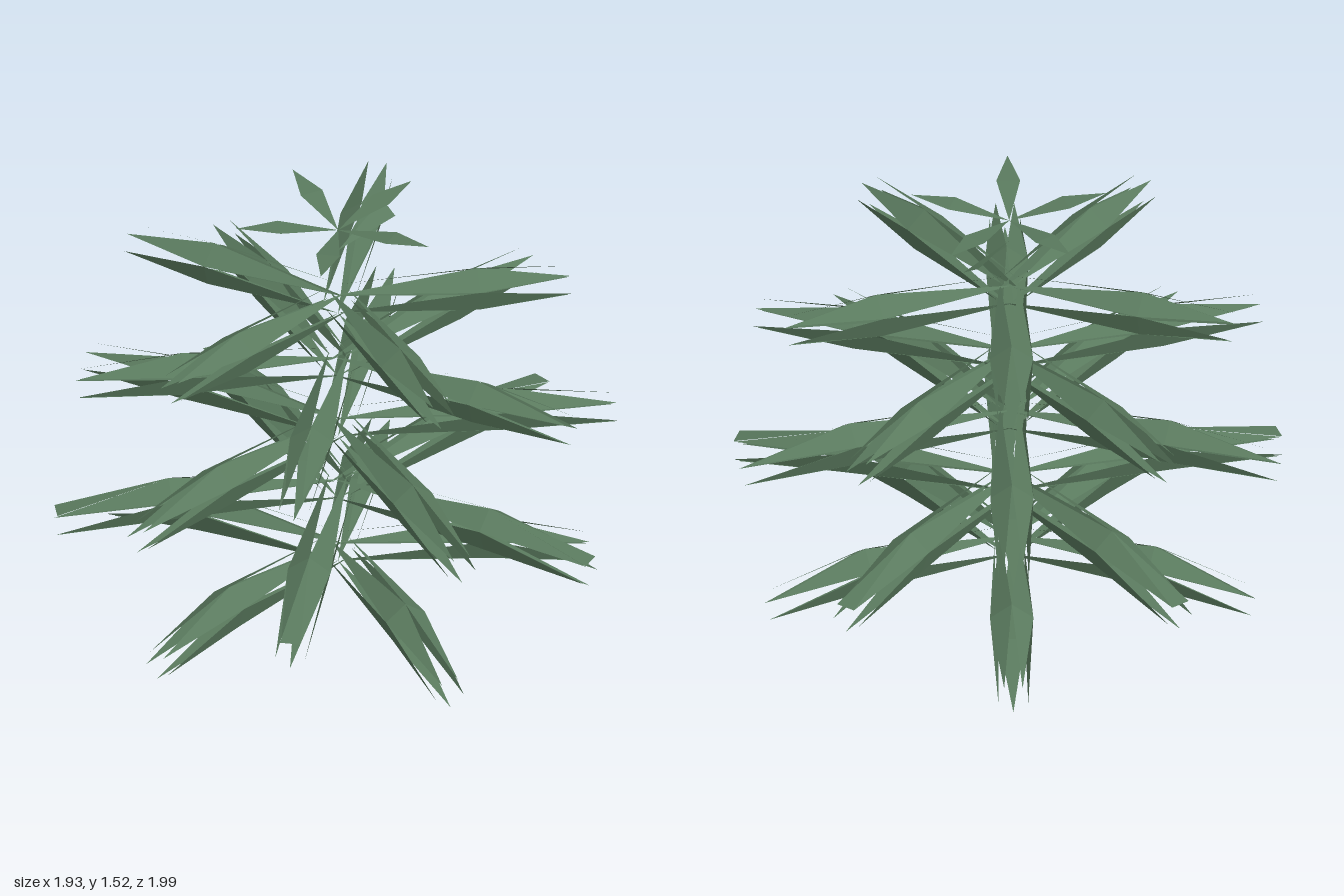
import * as THREE from 'three';

const foliage = new THREE.MeshStandardMaterial({ color: 0x5a7a5e, flatShading: true, side: THREE.DoubleSide });
foliage.name = 'foliageGreen';

const MID_RADIUS = 0.08;   // pentagon of blades at its widest
const END_RADIUS = 0.055;  // ring of blade roots and tips
const rad = THREE.MathUtils.degToRad;

function meshFrom(name, triangles) {
  const geometry = new THREE.BufferGeometry().setFromPoints(triangles);
  geometry.computeVertexNormals();
  const mesh = new THREE.Mesh(geometry, foliage);
  mesh.name = name;
  return mesh;
}

// A branch along +z: five pointed blades that touch at mid length and part at both ends
function makeBranch({ length, root, mid, tip, blunt }) {
  const at = (degrees, radius, y, z) =>
    new THREE.Vector3(Math.cos(rad(degrees)) * radius, y + Math.sin(rad(degrees)) * radius, z);
  const triangles = [];
  for (let k = 0; k < 5; k++) {
    const angle = 90 + 72 * k;
    const a = at(angle, MID_RADIUS, mid, length * 0.6);
    const b = at(angle + 72, MID_RADIUS, mid, length * 0.6);
    const start = at(angle + 36, END_RADIUS, root, 0);
    const end = at(angle + 36, END_RADIUS, tip, length);
    triangles.push(start, b, a, end, a, b);
  }
  // panel joining the two upper tips
  if (blunt) {
    triangles.push(at(90, MID_RADIUS, mid, length * 0.6),
      at(126, END_RADIUS * 1.1, tip, length), at(54, END_RADIUS * 1.1, tip, length));
  }
  return meshFrom('branch', triangles);
}

// Small flat diamond leaf for the crown
function makeCrownLeaf() {
  const root = new THREE.Vector3(0, 1.48, 0);
  const left = new THREE.Vector3(0.042, 1.512, 0.21);
  const right = new THREE.Vector3(-0.042, 1.512, 0.21);
  const tip = new THREE.Vector3(0, 1.52, 0.36);
  return meshFrom('crownLeaf', [root, left, right, tip, right, left]);
}

// Five copies around the stem
function makeRing(name, startDegrees, makePart) {
  const ring = new THREE.Group();
  ring.name = name;
  for (let i = 0; i < 5; i++) {
    const part = makePart();
    part.rotation.y = rad(startDegrees + 72 * i);
    ring.add(part);
  }
  return ring;
}

export function createModel() {
  const model = new THREE.Group();
  model.name = 'tieredPlant';

  // Branch tiers from bottom to top, turned by half a step each time
  const tiers = [
    { length: 0.89, root: 0.142, mid: 0.143, tip: 0.056 },
    { length: 1.0, root: 0.405, mid: 0.413, tip: 0.345, blunt: true },
    { length: 0.985, root: 0.665, mid: 0.678, tip: 0.635 },
    { length: 0.925, root: 0.92, mid: 0.935, tip: 0.915 },
    { length: 0.82, root: 1.185, mid: 1.193, tip: 1.185 },
  ];
  tiers.forEach((tier, i) => {
    model.add(makeRing(`branchTier${i + 1}`, i % 2 ? 180 : 0, () => makeBranch(tier)));
  });

  // Crown and the lone sliver of leaf below it
  model.add(makeRing('crown', 180, makeCrownLeaf));
  model.add(meshFrom('leafSliver', [
    new THREE.Vector3(0, 1.395, 0),
    new THREE.Vector3(0, 1.41, -0.28),
    new THREE.Vector3(-0.065, 1.45, -0.28),
  ]));
  return model;
}
